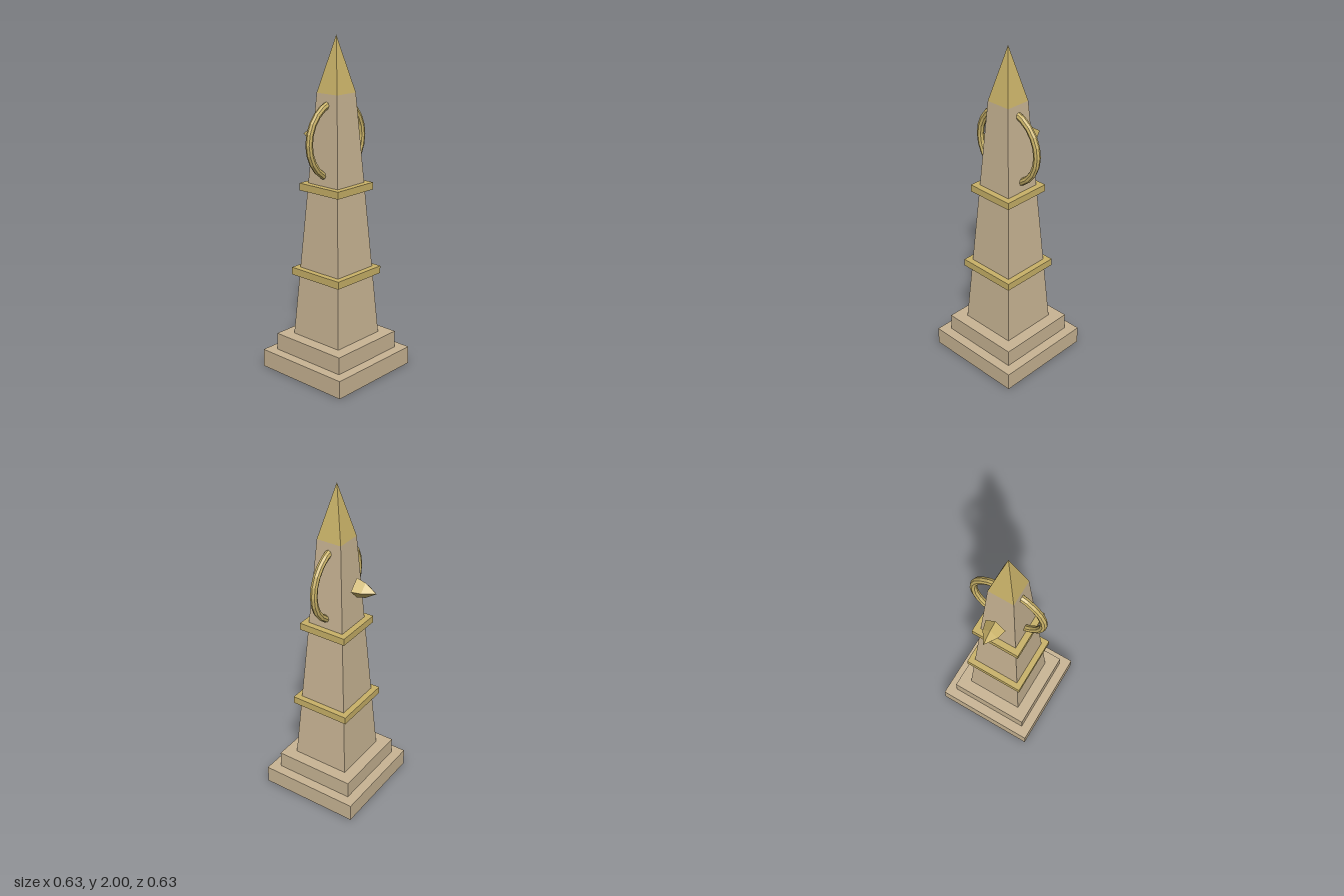
import * as THREE from 'three';

export function createModel() {
  const model = new THREE.Group();
  model.name = 'obelisk';

  const stone = new THREE.MeshStandardMaterial({ color: 0xc9b594, flatShading: true });
  stone.name = 'sandstone';
  const gold = new THREE.MeshStandardMaterial({ color: 0xc9b268, flatShading: true });
  gold.name = 'gold';

  const add = (name, geometry, material) => {
    const mesh = new THREE.Mesh(geometry, material);
    mesh.name = name;
    model.add(mesh);
    return mesh;
  };

  // Square block or tapered square prism, given half widths and heights
  const block = (name, bottom, top, y0, y1, material) => {
    const g = new THREE.CylinderGeometry(top * Math.SQRT2, bottom * Math.SQRT2, y1 - y0, 4);
    g.rotateY(Math.PI / 4);
    g.translate(0, (y0 + y1) / 2, 0);
    return add(name, g, material);
  };

  // Stepped plinth
  block('lowerStep', 0.313, 0.313, 0, 0.11, stone);
  block('upperStep', 0.253, 0.253, 0.11, 0.215, stone);

  // Tapered shaft with its pointed cap
  block('shaft', 0.18, 0.078, 0.215, 1.68, stone);
  block('cap', 0.078, 0, 1.68, 2, gold);

  // Gold bands around the shaft
  block('lowerBand', 0.186, 0.186, 0.595, 0.64, gold);
  block('upperBand', 0.151, 0.151, 1.113, 1.156, gold);

  // Ring passing through the upper shaft
  add('ring', new THREE.TorusGeometry(0.222, 0.021, 8, 24), gold).position.y = 1.41;

  // Four-sided pointed stud floating behind the shaft
  const profile = [[0, 0], [0.062, 0], [0.047, 0.057], [0, 0.128]];
  const stud = new THREE.LatheGeometry(profile.map(([r, y]) => new THREE.Vector2(r, y)), 4);
  stud.rotateX(-Math.PI / 2);
  add('rearStud', stud, gold).position.set(0, 1.41, -0.134);

  return model;
}
